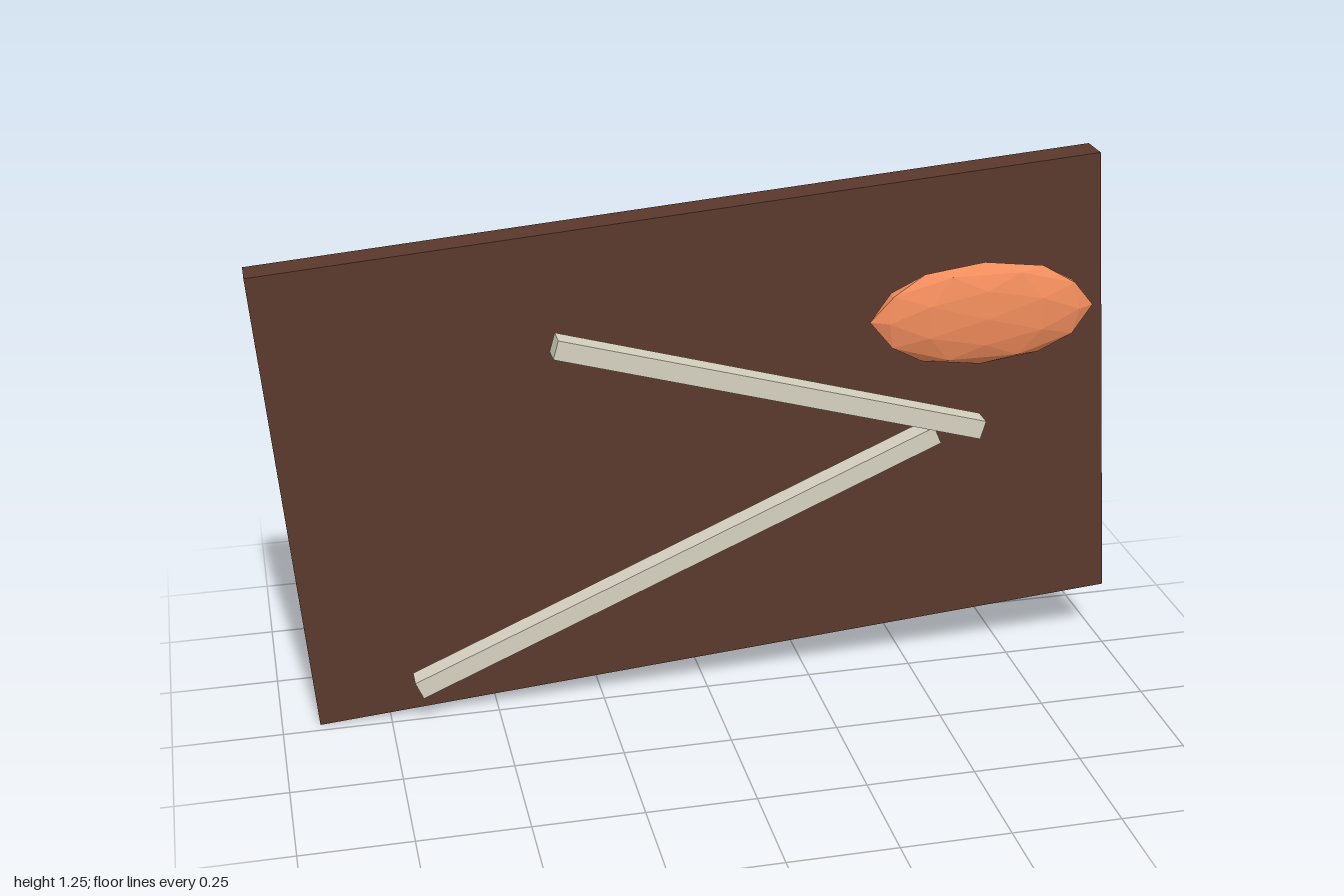
import * as THREE from 'three';

const material = (color) => new THREE.MeshStandardMaterial({ color, flatShading: true });

export function createModel() {
  const group = new THREE.Group();

  // Box of given size, placed by its centre and tilted in the xy plane
  const slab = (name, size, position, tilt, mat) => {
    const mesh = new THREE.Mesh(new THREE.BoxGeometry(...size), mat);
    mesh.name = name;
    mesh.position.set(...position);
    mesh.rotation.z = tilt;
    group.add(mesh);
  };

  // Tilted backing board
  slab('board', [1.919, 1.108, 0.074], [0, 0.627, -0.061], 0.0775, material(0x5a382c));

  // Two pale sticks forming a sideways V in front of the board
  const pale = material(0xd6d1c0);
  slab('upperStick', [1.03, 0.045, 0.05], [0.144, 0.775, 0.035], -0.281, pale);
  slab('lowerStick', [1.328, 0.045, 0.05], [-0.076, 0.362, 0.02], 0.405, pale);

  // Faceted, flattened pebble
  const pebble = new THREE.Mesh(new THREE.IcosahedronGeometry(1, 1), material(0xf08c5c));
  pebble.name = 'pebble';
  pebble.scale.set(0.263, 0.122, 0.04);
  pebble.position.set(0.62, 0.924, 0.065);
  group.add(pebble);

  return group;
}
